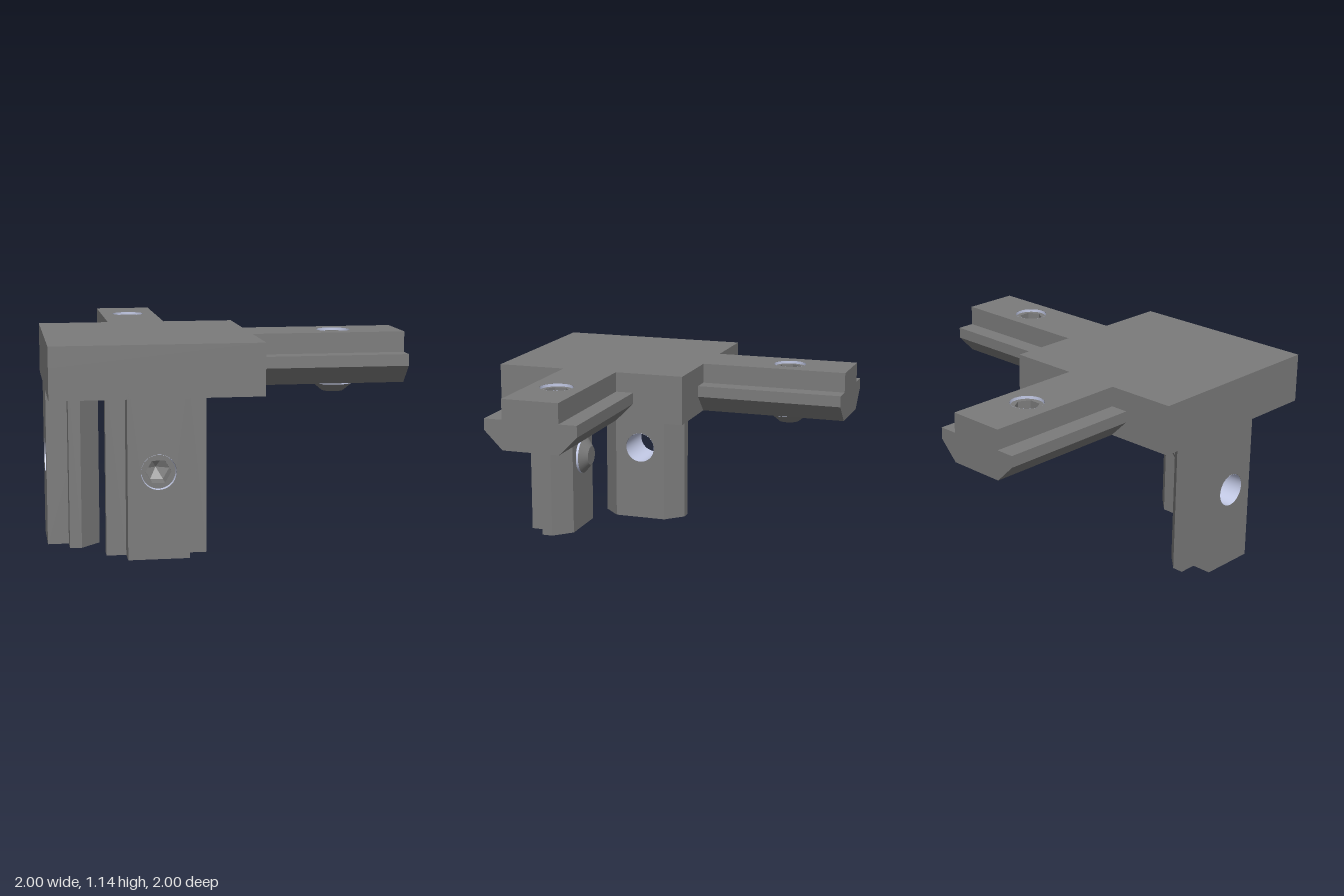
import * as THREE from 'three';

const grey = new THREE.MeshStandardMaterial({ color: 0x7b7b7b, side: THREE.DoubleSide });
grey.name = 'cast grey';
const steel = new THREE.MeshStandardMaterial({ color: 0xcad1ee, side: THREE.DoubleSide });
steel.name = 'thread steel';

const THICK = 0.285, NECK = 0.165, FLANGE = 0.27, BORE = 0.095;

function add(parent, name, geometry, material = grey, y = 0) {
  const mesh = new THREE.Mesh(geometry, material);
  mesh.name = name;
  mesh.position.y = y;
  parent.add(mesh);
  return mesh;
}

function polygon(points, Type = THREE.Shape) {
  return new Type(points.map(([x, y]) => new THREE.Vector2(x, y)));
}

function rect(x0, y0, x1, y1, Type) {
  return polygon([[x0, y0], [x1, y0], [x1, y1], [x0, y1]], Type);
}

function extrude(shape, depth) {
  return new THREE.ExtrudeGeometry(shape, { depth, bevelEnabled: false, curveSegments: 24 });
}

function faceted(geometry) {
  const flat = geometry.toNonIndexed();
  flat.computeVertexNormals();
  return flat;
}

// Set screw standing on the local y axis, its top just below y = 0
function makeScrew() {
  const screw = new THREE.Group();
  screw.name = 'setScrew';
  const r = 0.115, top = -0.015, hex = 0.069, socket = 0.1;

  // Face with hexagonal opening, points across the arm
  const face = new THREE.Shape().absarc(0, 0, 0.09, 0, Math.PI * 2);
  const corners = [];
  for (let i = 0; i < 6; i++) {
    const a = Math.PI / 2 + i * Math.PI / 3;
    corners.push([hex * Math.cos(a), hex * Math.sin(a)]);
  }
  face.holes.push(polygon(corners, THREE.Path));
  add(screw, 'screwFace', new THREE.ShapeGeometry(face, 24).rotateX(-Math.PI / 2), grey, top);
  add(screw, 'socketWall', faceted(new THREE.CylinderGeometry(hex, hex, socket, 6, 1, true)), grey, top - socket / 2);
  add(screw, 'socketBottom', faceted(new THREE.CylinderGeometry(hex, 0, 0.04, 6, 1, true)), grey, top - socket - 0.02);

  // Threaded shank and chamfered tip
  add(screw, 'shank', new THREE.CylinderGeometry(r, r, 0.26, 40, 1, true), steel, -0.17);
  add(screw, 'tip', new THREE.CylinderGeometry(r, 0.06, 0.045, 40), grey, -0.3225);
  return screw;
}

// Slot bar running along local +x, its outer face at y = 0
function makeBar(name, length, holeAt, hasScrew) {
  const bar = new THREE.Group();
  bar.name = name;

  // Drilled core
  const core = rect(0, -NECK, length, NECK);
  core.holes.push(new THREE.Path().absarc(holeAt, 0, BORE, 0, Math.PI * 2, true));
  add(bar, 'core', extrude(core, THICK).rotateX(-Math.PI / 2), grey, -THICK);

  // Chamfered flange on each side
  for (const s of [-1, 1]) {
    const flange = polygon([[s * NECK, -0.115], [s * FLANGE, -0.115], [s * FLANGE, -0.18], [s * NECK, -THICK]]);
    add(bar, 'flange', extrude(flange, length).rotateY(Math.PI / 2));
  }

  // Bore lining
  const bore = new THREE.CylinderGeometry(BORE - 0.001, BORE - 0.001, THICK, 40, 1, true);
  add(bar, 'bore', bore, steel, -THICK / 2).position.x = holeAt;

  if (hasScrew) {
    const screw = makeScrew();
    screw.position.x = holeAt;
    bar.add(screw);
  }
  return bar;
}

// Place a bar by its running direction and outward direction
function place(bar, position, along, outward) {
  const x = new THREE.Vector3(...along), y = new THREE.Vector3(...outward);
  const z = x.clone().cross(y);
  bar.quaternion.setFromRotationMatrix(new THREE.Matrix4().makeBasis(x, y, z));
  bar.position.set(...position);
  return bar;
}

export function createModel() {
  const model = new THREE.Group();
  model.name = 'cornerConnector';
  const top = 1.145, floor = 1.03, bottom = 0.86;

  // Square corner plate, hollow underneath
  const slab = new THREE.BoxGeometry(1.14, top - floor, 1.14);
  add(model, 'plateTop', slab, grey, (top + floor) / 2).position.set(-0.43, (top + floor) / 2, 0.43);
  const rim = rect(-1, -1, 0.14, 0.14);
  rim.holes.push(rect(-0.81, -0.81, -0.05, -0.05, THREE.Path));
  add(model, 'plateRim', extrude(rim, floor - bottom).rotateX(-Math.PI / 2), grey, bottom);

  // Two level arms and two legs
  model.add(
    place(makeBar('rightArm', 0.86, 0.49, true), [0.14, top, 0.43], [1, 0, 0], [0, 1, 0]),
    place(makeBar('backArm', 0.86, 0.49, true), [-0.43, top, -0.14], [0, 0, -1], [0, 1, 0]),
    place(makeBar('frontLeg', floor, floor - 0.47, true), [-0.43, floor, 1], [0, -1, 0], [0, 0, 1]),
    place(makeBar('sideLeg', floor, floor - 0.47, false), [-1, floor, 0.43], [0, -1, 0], [-1, 0, 0]),
  );
  return model;
}
